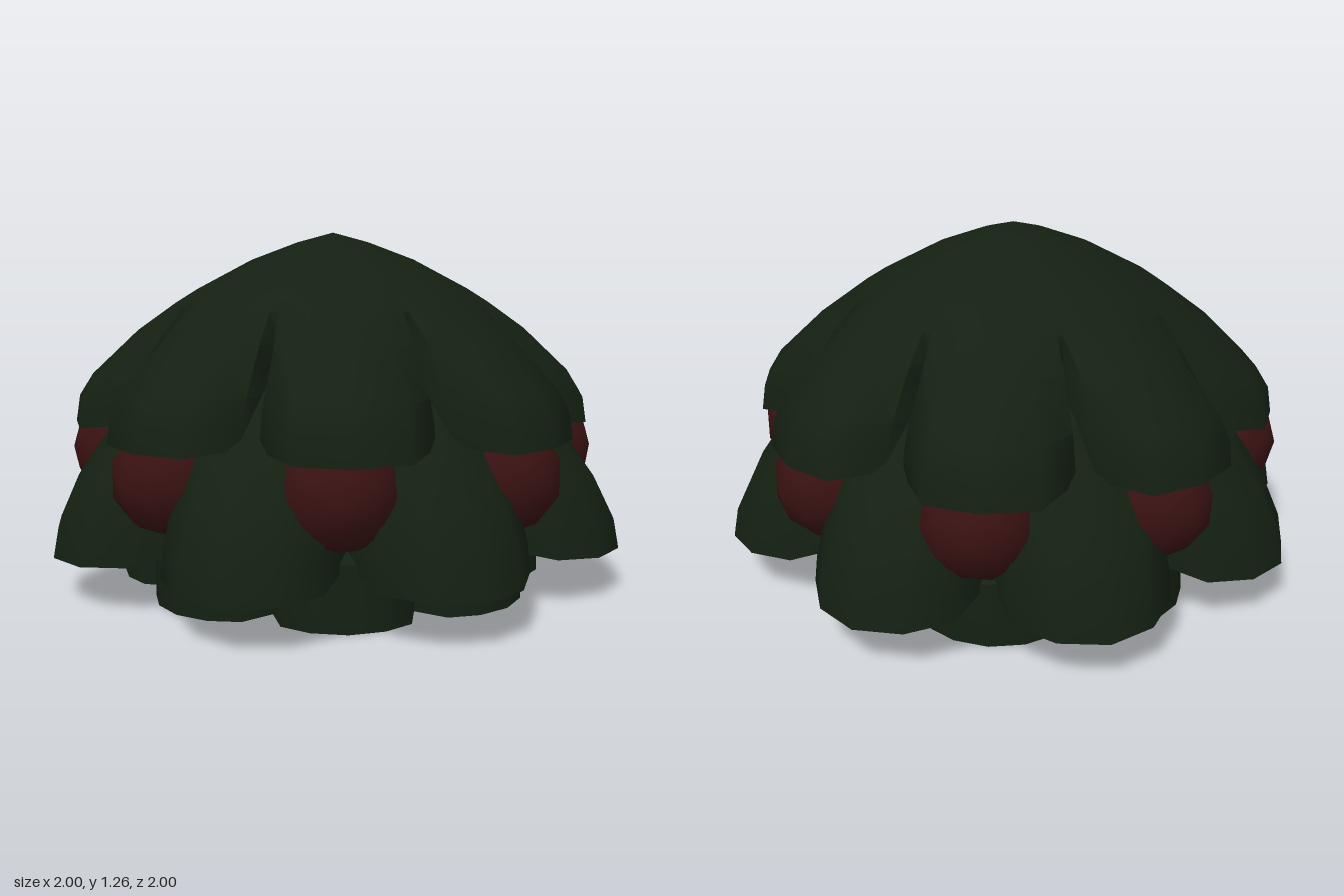
import * as THREE from 'three';
import { toCreasedNormals } from 'three/addons/utils/BufferGeometryUtils.js';

const PETALS = 8;
const STEP = (Math.PI * 2) / PETALS;
// Petal outlines: [position across the petal, how far it falls into the valley there]
const BROAD = [[-1, 1], [-0.9, 0.4], [-0.5, 0.05], [0, 0], [0.5, 0.05], [0.9, 0.4]];
const ROUND = [[-1, 1], [-0.76, 0.36], [-0.4, 0.1], [0, 0], [0.4, 0.1], [0.76, 0.36]];

// Lobed ring of leaves: profile holds [ridge radius, y] from top to rim, then
// the inner edge of the underside; lift raises the rim between petals
function leafLayer(name, outline, profile, valley, turn, lift, material) {
  const positions = [];
  const index = [];
  const cols = PETALS * outline.length;
  profile.forEach(([ridge, y], row) => {
    for (let i = 0; i < cols; i++) {
      const [across, fall] = outline[i % outline.length];
      const angle = turn + (Math.floor(i / outline.length) + across / 2) * STEP;
      const r = ridge - Math.max(0, ridge - valley) * fall;
      const rise = row === profile.length - 2 ? lift * fall : 0;
      positions.push(Math.sin(angle) * r, y + rise, Math.cos(angle) * r);
    }
  });
  for (let row = 0; row < profile.length - 1; row++) {
    for (let i = 0; i < cols; i++) {
      const a = row * cols + i;
      const b = row * cols + ((i + 1) % cols);
      index.push(a, a + cols, b + cols);
      if (profile[row][0] > 0) index.push(a, b + cols, b);
    }
  }
  const geometry = new THREE.BufferGeometry();
  geometry.setAttribute('position', new THREE.Float32BufferAttribute(positions, 3));
  geometry.setIndex(index);
  const mesh = new THREE.Mesh(toCreasedNormals(geometry, 0.95), material);
  mesh.name = name;
  return mesh;
}

export function createModel() {
  const group = new THREE.Group();
  group.name = 'berryBush';
  const leaf = new THREE.MeshStandardMaterial({ color: 0x142012, side: THREE.DoubleSide });
  const red = new THREE.MeshStandardMaterial({ color: 0x3a1212 });

  // Domed crown of eight leaves
  group.add(leafLayer('topLeaves', BROAD, [
    [0, 1.265], [0.13, 1.23], [0.3, 1.166], [0.5, 1.06], [0.58, 1.01],
    [0.72, 0.91], [0.89, 0.75], [0.94, 0.67], [0.955, 0.575], [0.55, 0.63],
  ], 0.56, 0, 0.05, leaf));

  // Wider skirt, turned half a petal
  group.add(leafLayer('middleLeaves', ROUND, [
    [0.5, 0.87], [0.66, 0.75], [0.83, 0.6], [0.97, 0.42],
    [1.045, 0.27], [1.065, 0.165], [0.64, 0.24],
  ], 0.7, STEP / 2, 0.04, leaf));

  // Upright bottom ring, open below, with its inner wall
  group.add(leafLayer('bottomLeaves', ROUND, [
    [0.58, 0.7], [0.64, 0.47], [0.67, 0.27], [0.775, 0.23], [0.785, 0.12], [0.79, 0.005],
  ], 0.62, 0, 0, leaf));

  // Berries in the valleys of the skirt
  const berryGeometry = new THREE.IcosahedronGeometry(0.2, 1);
  const n = berryGeometry.attributes.position;
  for (let i = 0; i < n.count; i++) {
    const v = new THREE.Vector3().fromBufferAttribute(n, i).normalize();
    berryGeometry.attributes.normal.setXYZ(i, v.x, v.y, v.z);
  }
  for (let i = 0; i < PETALS; i++) {
    const angle = i * STEP - 0.04;
    const berry = new THREE.Mesh(berryGeometry, red);
    berry.name = 'berry';
    berry.position.set(Math.sin(angle) * 0.775, 0.47, Math.cos(angle) * 0.775);
    berry.rotation.y = angle;
    group.add(berry);
  }
  return group;
}
